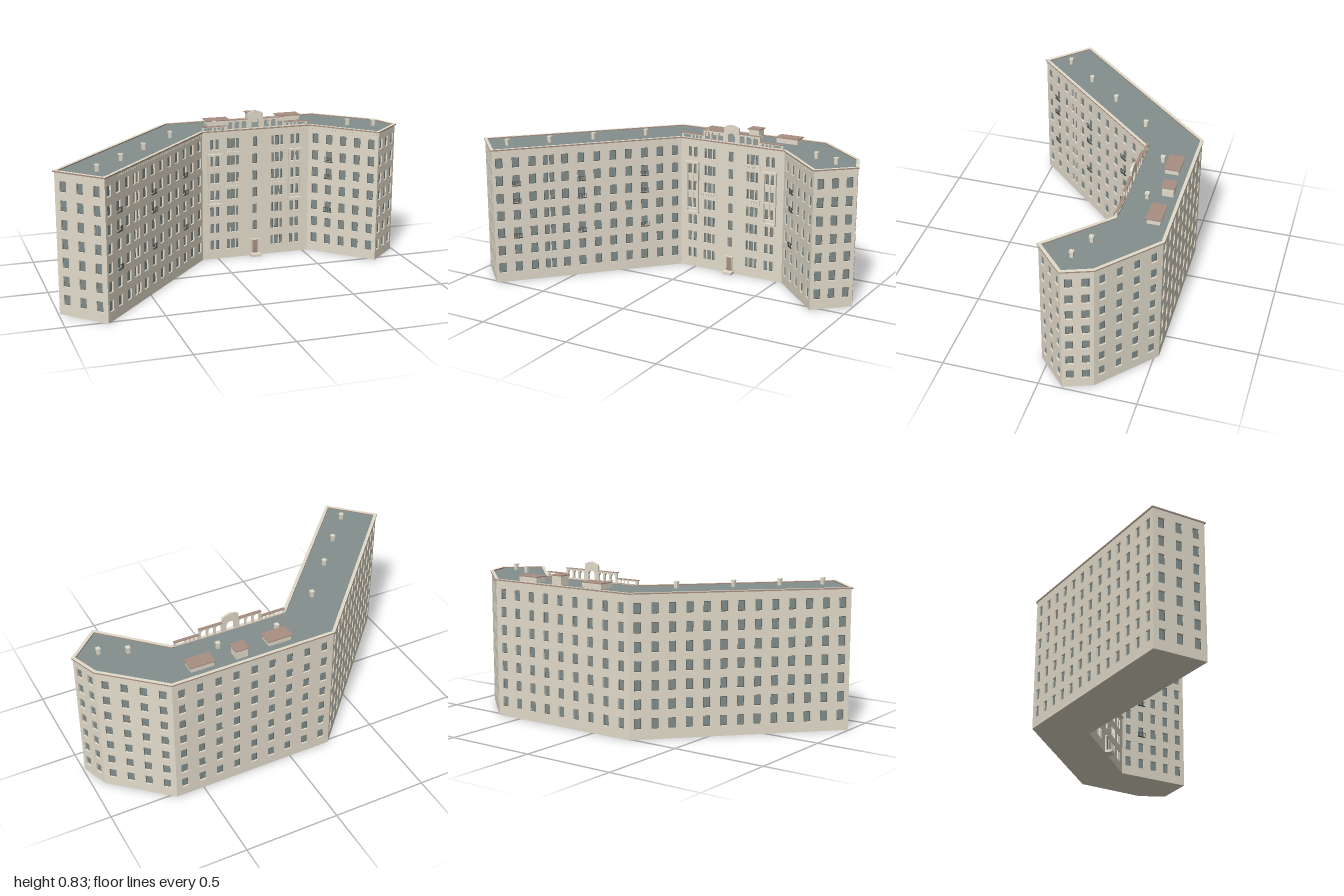
import * as THREE from 'three';
import { mergeGeometries } from 'three/addons/utils/BufferGeometryUtils.js';

const mat = (name, color) => Object.assign(new THREE.MeshStandardMaterial({ color }), { name });

// Footprint corners as [x, z], walked so that each wall faces outward
const PLAN = [[-0.993, 0.32], [-0.79, 0.521], [-0.09, -0.252], [0.53, -0.252], [0.825, 0.037],
  [0.991, -0.12], [0.936, -0.267], [0.65, -0.522], [-0.23, -0.515]];
const H = 0.728, T = 0.01;
const FLOORS = Array.from({ length: 7 }, (_, i) => 0.08 + i * 0.0963);

// Moves every edge of the footprint outward by d
function offsetPlan(d) {
  const n = PLAN.length;
  const normal = (a, b) => {
    const l = Math.hypot(b[0] - a[0], b[1] - a[1]);
    return [-(b[1] - a[1]) / l, (b[0] - a[0]) / l];
  };
  return PLAN.map((p, i) => {
    const m = normal(PLAN[(i + n - 1) % n], p), k = normal(p, PLAN[(i + 1) % n]);
    const s = d / (1 + m[0] * k[0] + m[1] * k[1]);
    return [p[0] + (m[0] + k[0]) * s, p[1] + (m[1] + k[1]) * s];
  });
}
const planPoints = (d) => offsetPlan(d).map(([x, z]) => new THREE.Vector2(x, -z));

// Flat slab with a given outline, lying at height y
const slab = (shape, depth, y) => new THREE.ExtrudeGeometry(shape, { depth, bevelEnabled: false })
  .rotateX(-Math.PI / 2).translate(0, y, 0);
const box = (w, h, d, x, y, z) => new THREE.BoxGeometry(w, h, d).translate(x, y, z);

function rectHole(x, y, w, h) {
  const p = new THREE.Path();
  p.moveTo(x - w / 2, y - h / 2);
  p.lineTo(x - w / 2, y + h / 2);
  p.lineTo(x + w / 2, y + h / 2);
  p.lineTo(x + w / 2, y - h / 2);
  p.closePath();
  return p;
}

function archHole(x, y0, w, h) {
  const p = new THREE.Path();
  p.moveTo(x - w / 2, y0);
  p.lineTo(x - w / 2, y0 + h - w / 2);
  p.absarc(x, y0 + h - w / 2, w / 2, Math.PI, 0, true);
  p.lineTo(x + w / 2, y0);
  p.closePath();
  return p;
}

export function createModel() {
  const wall = mat('stone wall', 0xe2dccb);
  const roofing = mat('grey green roof', 0x848f8d);
  const glass = mat('window glass', 0x808d8b);
  const dark = mat('dark frame', 0x4b4f4b);
  const brown = mat('brown capping', 0xa98f82);

  const model = new THREE.Group();
  model.name = 'apartmentBuilding';
  const add = (parent, name, geometry, material) => {
    const mesh = new THREE.Mesh(geometry, material);
    mesh.name = name;
    parent.add(mesh);
  };

  // Wall with recessed, dark-framed windows; windows are [u, width] at every floor
  function makeWall(i, name, windows) {
    const [a, b] = [PLAN[i], PLAN[(i + 1) % PLAN.length]];
    const dx = b[0] - a[0], dz = b[1] - a[1], L = Math.hypot(dx, dz);
    const g = new THREE.Group();
    g.name = name;
    g.position.set(a[0], 0, a[1]);
    g.rotation.y = Math.atan2(-dz, dx);
    const shape = new THREE.Shape([[0, 0.001], [L, 0.001], [L, H], [0, H]].map((p) => new THREE.Vector2(...p)));
    const panes = [];
    for (const y of FLOORS) {
      for (const [u, w, skipGround] of windows(L)) {
        if (skipGround && y === FLOORS[0]) continue;
        shape.holes.push(rectHole(u, y, w, 0.055));
        panes.push(new THREE.PlaneGeometry(w - 0.006, 0.049).translate(u, y, -T + 0.003));
      }
    }
    add(g, name + 'Face', new THREE.ExtrudeGeometry(shape, { depth: T, bevelEnabled: false }).translate(0, 0, -T), wall);
    add(g, name + 'Frames', new THREE.PlaneGeometry(L - 0.02, H - 0.01).translate(L / 2, H / 2, -T + 0.001), dark);
    add(g, name + 'Glass', mergeGeometries(panes), glass);
    model.add(g);
    return { g, L };
  }
  const even = (n, w = 0.037) => (L) => Array.from({ length: n }, (_, i) => [L * (i + 0.5) / n, w]);
  const longWindows = (L) => Array.from({ length: 12 }, (_, i) => L * (0.035 + i * 0.0845))
    .flatMap((u, i) => (i === 3 ? [[u - 0.017, 0.026], [u + 0.017, 0.026]] : [[u, 0.039]]));
  // Central facade: paired bay windows, triple windows and a stair window
  const centralWindows = () => [[0.305, 0.028, true]].concat(...[-1, 1].map((s) => [
    [0.305 + s * 0.218, 0.021], [0.305 + s * 0.25, 0.021],
    [0.305 + s * 0.103, 0.016], [0.305 + s * 0.129, 0.025], [0.305 + s * 0.155, 0.016]]));

  makeWall(0, 'longWingEnd', even(3));
  const longWing = makeWall(1, 'longWingFront', longWindows);
  const central = makeWall(2, 'centralFacade', centralWindows);
  const shortWing = makeWall(3, 'shortWingFront', even(5));
  makeWall(4, 'shortWingEnd', even(3));
  makeWall(5, 'shortWingCorner', even(2));
  makeWall(6, 'shortWingBack', even(4));
  makeWall(7, 'centralBack', even(9));
  makeWall(8, 'longWingBack', even(13));

  // Iron balconies and cornice dentils on the wings
  function balconies(w, spots) {
    const parts = [];
    for (const u of spots) for (const f of [2, 4, 5]) {
      const y = FLOORS[f] - 0.03;
      parts.push(box(0.046, 0.003, 0.009, u, y, 0.0045), box(0.046, 0.002, 0.002, u, y + 0.025, 0.008));
      for (let k = 0; k < 6; k++) parts.push(box(0.002, 0.025, 0.002, u - 0.022 + k * 0.0088, y + 0.0125, 0.008));
    }
    add(w.g, 'balconies', mergeGeometries(parts), dark);
  }
  function dentils(w, from) {
    const parts = [];
    for (let u = from; u < w.L - 0.01; u += 0.02) parts.push(box(0.004, 0.008, 0.003, u, 0.713, 0.0015));
    add(w.g, 'dentils', mergeGeometries(parts), wall);
  }
  balconies(longWing, [1, 5, 9].map((i) => longWing.L * (0.035 + i * 0.0845)));
  balconies(shortWing, [shortWing.L * 0.3]);
  dentils(longWing, 0.12);
  dentils(shortWing, 0.02);

  // Base, roof deck and raised rim
  add(model, 'base', slab(new THREE.Shape(planPoints(0)), 0.001, 0), wall);
  add(model, 'roofDeck', slab(new THREE.Shape(planPoints(-0.004)), 0.004, 0.724), roofing);
  const rim = new THREE.Shape(planPoints(0.006));
  rim.holes.push(new THREE.Path(planPoints(-0.011)));
  add(model, 'roofRim', slab(rim, 0.007, 0.727), [wall, brown]);

  // Roof houses with brown caps: x, z, width, depth, top
  for (const [x, z, w, d, top] of [[0.045, -0.43, 0.13, 0.078, 0.757], [0.262, -0.455, 0.07, 0.066, 0.779],
    [0.468, -0.442, 0.13, 0.074, 0.757]]) {
    add(model, 'roofHouse', box(w - 0.008, top - 0.726, d - 0.008, x, (top + 0.726) / 2, z), wall);
    add(model, 'roofHouseCap', box(w + 0.004, 0.005, d + 0.004, x, top, z), brown);
  }

  // Chimneys
  for (const [x, z] of [[-0.797, 0.375], [-0.643, 0.205], [-0.483, 0.022], [-0.285, -0.197], [0.01, -0.362],
    [0.333, -0.362], [0.735, -0.197], [0.867, -0.14]]) {
    add(model, 'chimney', mergeGeometries([box(0.017, 0.034, 0.017, x, 0.742, z), box(0.022, 0.006, 0.022, x, 0.76, z)]), wall);
  }

  // Arcaded parapet above the central facade
  const cx = 0.305, f = central.g;
  const crest = new THREE.Shape();
  crest.moveTo(cx - 0.17, 0.73);
  crest.lineTo(cx + 0.17, 0.73);
  crest.lineTo(cx + 0.17, 0.785);
  crest.lineTo(cx + 0.044, 0.785);
  crest.lineTo(cx + 0.044, 0.817);
  crest.quadraticCurveTo(cx, 0.845, cx - 0.044, 0.817);
  crest.lineTo(cx - 0.044, 0.785);
  crest.lineTo(cx - 0.17, 0.785);
  crest.closePath();
  crest.holes.push(archHole(cx, 0.736, 0.042, 0.05));
  for (const s of [-1, 1]) for (const k of [0.065, 0.105, 0.145]) crest.holes.push(archHole(cx + s * k, 0.736, 0.03, 0.043));
  add(f, 'arcade', new THREE.ExtrudeGeometry(crest, { depth: 0.012, bevelEnabled: false, curveSegments: 6 })
    .translate(0, 0, -0.012), wall);
  const caps = [], trim = [];
  for (const s of [-1, 1]) {
    const rail = new THREE.Shape([[0.17, 0.73], [0.305, 0.73], [0.305, 0.756], [0.17, 0.756]]
      .map(([x, y]) => new THREE.Vector2(cx + s * x, y)));
    for (const k of [0.187, 0.209, 0.231]) rail.holes.push(archHole(cx + s * k, 0.736, 0.014, 0.016));
    rail.holes.push(rectHole(cx + s * 0.27, 0.744, 0.045, 0.014));
    add(f, 'parapetRail', new THREE.ExtrudeGeometry(rail, { depth: 0.01, bevelEnabled: false, curveSegments: 4 })
      .translate(0, 0, -0.011), wall);
    caps.push(box(0.138, 0.004, 0.015, cx + s * 0.237, 0.757, -0.006));
    caps.push(box(0.128, 0.003, 0.016, cx + s * 0.108, 0.787, -0.006));

    // Framed bay with pilasters and spandrels
    const bx = cx + s * 0.234;
    for (const t of [-1, 1]) trim.push(box(0.012, 0.28, 0.012, bx + t * 0.034, 0.455, 0.006));
    trim.push(box(0.084, 0.01, 0.018, bx, 0.6, 0.009), box(0.084, 0.01, 0.018, bx, 0.318, 0.009));
    for (const y of [3, 4, 5]) trim.push(box(0.06, 0.006, 0.008, bx, FLOORS[y] - 0.031, 0.004));
    trim.push(box(0.008, 0.2, 0.006, bx, 0.465, 0.003));

    // Stone balconies below the triple windows
    for (const y of [0.417, 0.61]) {
      const x = cx + s * 0.131;
      trim.push(box(0.096, 0.004, 0.012, x, y, 0.006), box(0.096, 0.004, 0.004, x, y + 0.018, 0.01));
      for (let k = 0; k < 7; k++) trim.push(box(0.004, 0.018, 0.004, x - 0.046 + k * 0.0153, y + 0.009, 0.01));
    }
  }
  add(f, 'parapetCaps', mergeGeometries(caps), brown);
  add(f, 'facadeTrim', mergeGeometries(trim), wall);

  // Entrance door, surround and step
  add(f, 'door', box(0.032, 0.078, 0.004, cx, 0.051, 0.002), brown);
  add(f, 'doorSurround', mergeGeometries([box(0.006, 0.082, 0.008, cx - 0.019, 0.053, 0.004),
    box(0.006, 0.082, 0.008, cx + 0.019, 0.053, 0.004), box(0.05, 0.006, 0.012, cx, 0.095, 0.006)]), wall);
  add(f, 'doorStep', box(0.055, 0.014, 0.04, cx, 0.007, 0.018), wall);
  return model;
}
